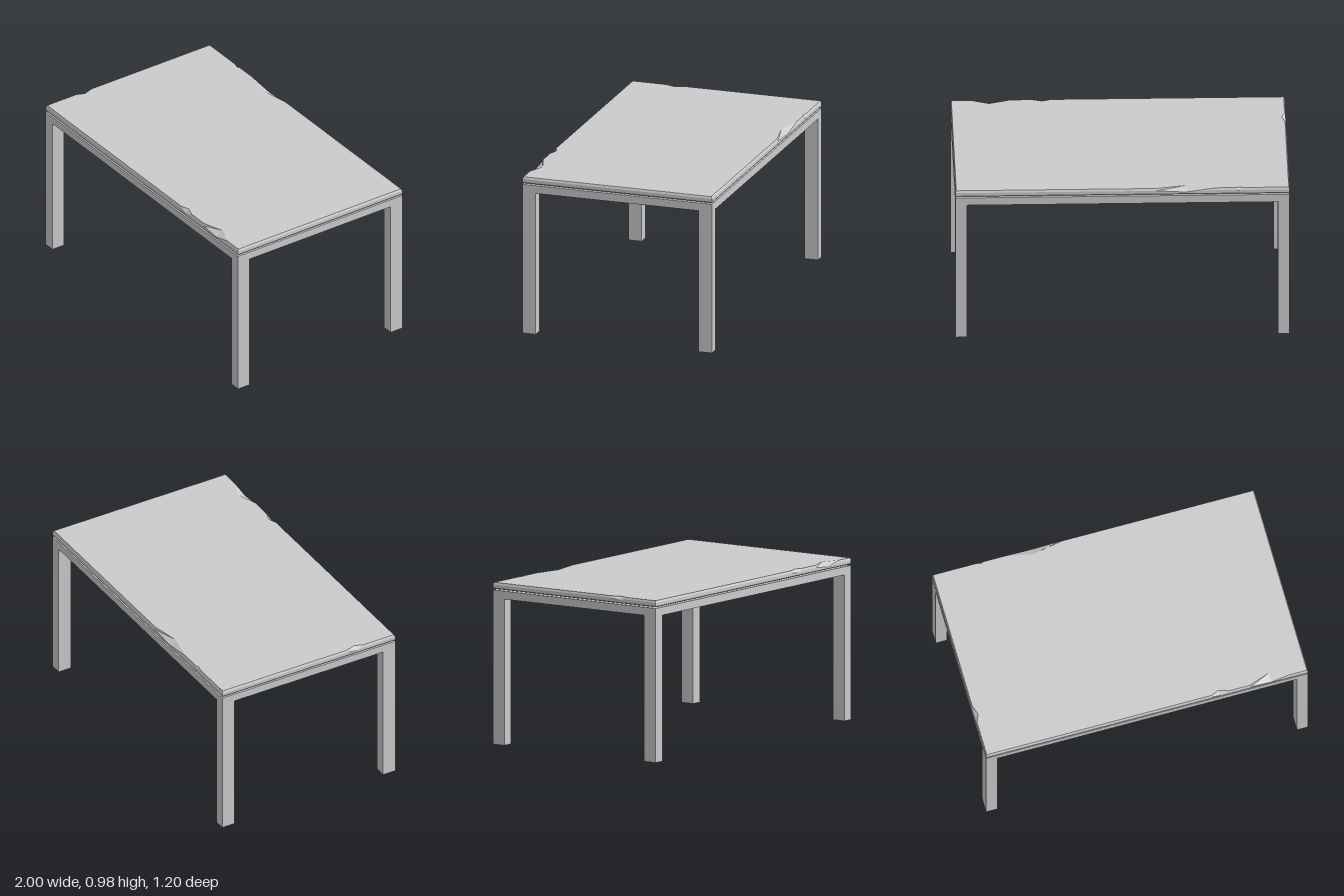
import * as THREE from 'three';

const material = new THREE.MeshStandardMaterial({ color: 0xcccccc, flatShading: true });
const W = 1, D = 0.6; // half width and half depth

function addBox(group, name, size, position) {
  const mesh = new THREE.Mesh(new THREE.BoxGeometry(...size), material);
  mesh.name = name;
  mesh.position.set(...position);
  group.add(mesh);
}

// Worn spots per edge: [from, deepest point, to, depth inward, drop of the edge]
const chips = {
  front: [[0.4, 0.45, 0.51, 0.02, 0.008], [0.64, 0.77, 0.88, 0.045, 0.012]],
  right: [],
  back: [[-0.2, -0.38, -0.56, 0.035, 0.01], [-0.68, -0.7, -0.73, 0.008, 0.004]],
  left: [[0.27, 0.33, 0.38, 0.02, 0.007]],
};

// Outline, counter-clockwise from above; n is the outward direction
function outline() {
  const points = [];
  const add = (x, z, nx, nz, depth = 0, drop = 0) => points.push({ x, z, nx, nz, depth, drop });
  const edge = (list, place) => {
    for (const [from, mid, to, depth, drop] of list) {
      place(from, 0, 0);
      place(mid, depth, drop);
      place(to, 0, 0);
    }
  };
  add(-W, D, -1, 1);
  edge(chips.front, (t, d, h) => add(t, D, 0, 1, d, h));
  add(W, D, 1, 1);
  edge(chips.right, (t, d, h) => add(W, t, 1, 0, d, h));
  add(W, -D, 1, -1);
  edge(chips.back, (t, d, h) => add(t, -D, 0, -1, d, h));
  add(-W, -D, -1, -1);
  edge(chips.left, (t, d, h) => add(-W, t, -1, 0, d, h));
  return points;
}

// Slab with bevelled edges, built from rings and closed by two caps
function tabletopGeometry() {
  const base = outline();
  const ring = (y, inset, wear) => base.map((p) => {
    const i = inset + (wear === 'depth' ? p.depth : 0);
    return new THREE.Vector3(p.x - p.nx * i, y - (wear === 'drop' ? p.drop : 0), p.z - p.nz * i);
  });
  const rings = [
    ring(0.941, 0.004),
    ring(0.946, 0),
    ring(0.967, 0, 'drop'),
    ring(0.98, 0.006, 'depth'),
  ];
  const positions = [];
  const tri = (...corners) => corners.forEach((v) => positions.push(v.x, v.y, v.z));
  for (let r = 0; r < rings.length - 1; r++) {
    for (let i = 0; i < base.length; i++) {
      const j = (i + 1) % base.length;
      const [a, b, c, d] = [rings[r][i], rings[r][j], rings[r + 1][j], rings[r + 1][i]];
      tri(a, b, c);
      tri(a, c, d);
    }
  }
  const cap = (points, up) => {
    const flat = points.map((v) => new THREE.Vector2(v.x, -v.z));
    for (const [a, b, c] of THREE.ShapeUtils.triangulateShape(flat, [])) {
      if (up) tri(points[a], points[b], points[c]);
      else tri(points[a], points[c], points[b]);
    }
  };
  cap(rings[0], false);
  cap(rings[3], true);
  const geometry = new THREE.BufferGeometry();
  geometry.setAttribute('position', new THREE.Float32BufferAttribute(positions, 3));
  geometry.computeVertexNormals();
  return geometry;
}

export function createModel() {
  const table = new THREE.Group();
  table.name = 'table';

  // Worn tabletop above a narrow shadow gap
  const top = new THREE.Mesh(tabletopGeometry(), material);
  top.name = 'tabletop';
  table.add(top);
  addBox(table, 'spacer', [1.9, 0.008, 1.1], [0, 0.9375, 0]);

  // Solid frame under the top
  addBox(table, 'frame', [2 * W, 0.049, 2 * D], [0, 0.9095, 0]);

  // Four legs flush with the frame corners
  const legW = 0.07, legD = 0.085, legH = 0.885;
  for (const sx of [-1, 1]) {
    for (const sz of [-1, 1]) {
      const name = (sz > 0 ? 'front' : 'back') + (sx > 0 ? 'Left' : 'Right') + 'Leg';
      addBox(table, name, [legW, legH, legD], [sx * (W - legW / 2), legH / 2, sz * (D - legD / 2)]);
    }
  }
  return table;
}
